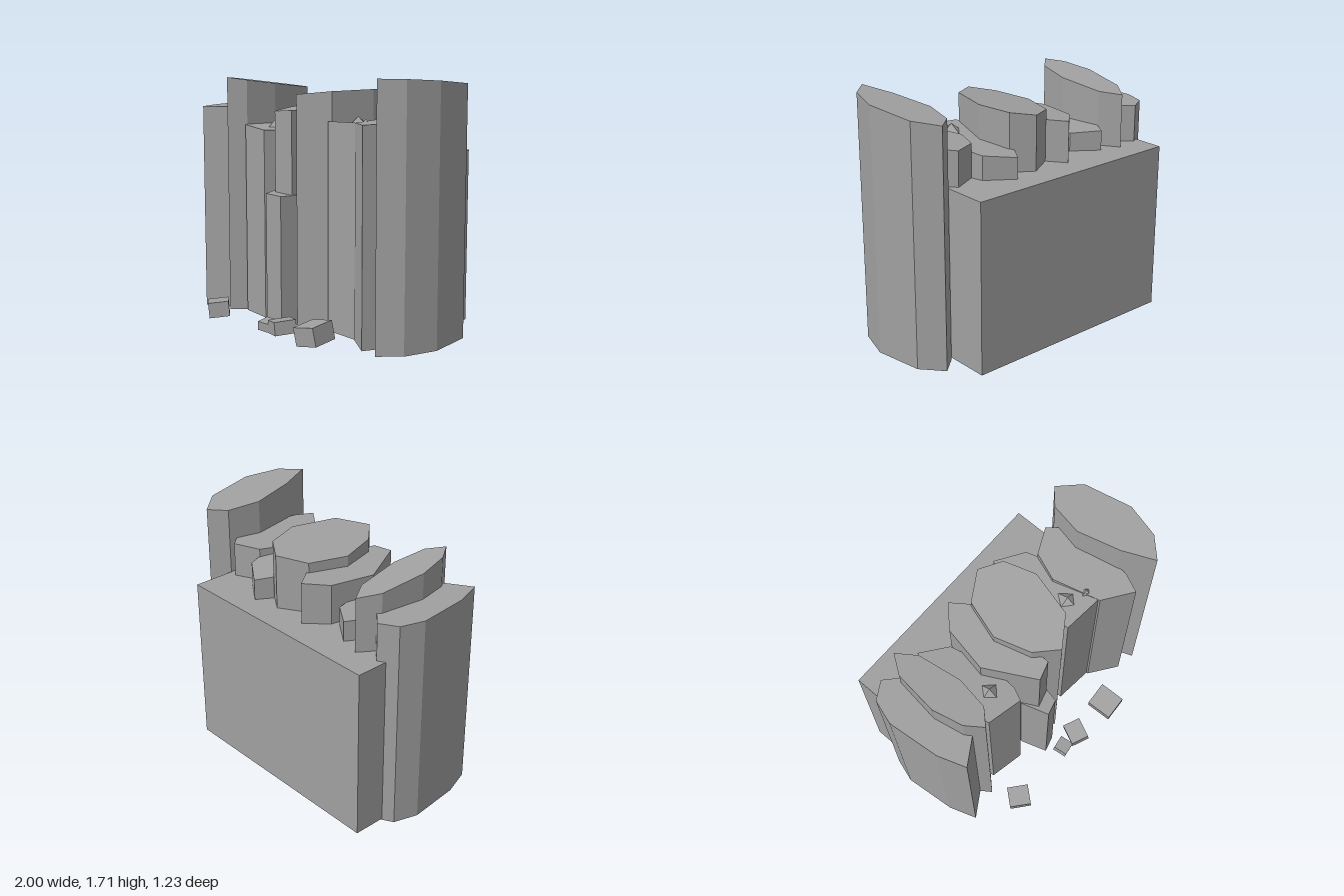
import * as THREE from 'three';

// Eight-sided outline: four corner points, with one point between each pair
// pushed from the straight side towards the bounding corner.
function outline(back, right, front, left, [bulgeLeft, bulgeRight]) {
  const between = (side, end, bulge) => [
    THREE.MathUtils.lerp((side[0] + end[0]) / 2, side[0], bulge),
    THREE.MathUtils.lerp((side[1] + end[1]) / 2, end[1], bulge),
  ];
  return [
    back, between(right, back, 0.4), right, between(right, front, bulgeRight),
    front, between(left, front, bulgeLeft), left, between(left, back, 0.4),
  ];
}

// Upright prism whose top follows the plane h + sx * x + sz * z.
function prism(points, [h, sx, sz]) {
  const shape = new THREE.Shape(points.map(([x, z]) => new THREE.Vector2(x, -z)));
  const geo = new THREE.ExtrudeGeometry(shape, { depth: 1, bevelEnabled: false });
  geo.rotateX(-Math.PI / 2);
  const p = geo.attributes.position;
  for (let i = 0; i < p.count; i++) {
    if (p.getY(i) > 0.5) p.setY(i, h + sx * p.getX(i) + sz * p.getZ(i));
  }
  geo.computeVertexNormals();
  return geo;
}

export function createModel() {
  const group = new THREE.Group();
  const stone = new THREE.MeshStandardMaterial({ color: 0xa0a0a0 });
  stone.name = 'grey stone';
  stone.flatShading = true;
  const add = (name, geo) => {
    const mesh = new THREE.Mesh(geo, stone);
    mesh.name = name;
    group.add(mesh);
    return mesh;
  };

  // Columns: top plane, then back, right, front and left corners, then front bulges
  const columns = [
    ['endRightColumn', [1.435, 0, 0], [-0.83, -0.43], [-0.62, 0.02], [-0.9, 0.345], [-1, -0.2], [0.3, 0.3]],
    ['tallRightColumn', [1.564, -0.06, 0.13], [-0.67, -0.455], [-0.545, -0.015], [-0.68, 0.31], [-0.8, -0.015], [0.3, 0.4]],
    ['brokenRightColumn', [1.28, -0.07, 0], [-0.525, -0.415], [-0.28, 0], [-0.335, 0.285], [-0.63, 0], [0.65, 0.4]],
    ['innerRightColumn', [1.461, 0.05, -0.02], [-0.18, -0.455], [-0.055, -0.05], [-0.19, 0.32], [-0.37, -0.015], [0, 0.8]],
    ['shortColumn', [0.88, -0.12, 0], [-0.15, 0.05], [-0.055, 0.25], [-0.19, 0.405], [-0.25, 0.22], [0, 0.6]],
    ['centreColumn', [1.553, 0.14, 0.03], [0.085, -0.435], [0.29, -0.12], [0.015, 0.32], [-0.185, -0.065], [0.3, 0.4]],
    ['brokenLeftColumn', [1.366, 0.03, 0.11], [0.27, -0.47], [0.53, -0.05], [0.49, 0.245], [0.18, -0.12], [0.85, 0.4]],
    ['innerLeftColumn', [1.384, 0.05, 0], [0.64, -0.34], [0.75, -0.03], [0.67, 0.395], [0.395, -0.07], [0.4, 0.4]],
    ['tallLeftColumn', [1.61, 0.07, 0.09], [0.82, -0.42], [1, 0.06], [0.805, 0.42], [0.66, -0.1], [0.15, 0.3]],
  ];
  for (const [name, top, ...corners] of columns) add(name, prism(outline(...corners), top));

  // Splinters on the broken tops: centre and size
  const splinters = [
    [[-0.42, 1.325, 0.1], [0.16, 0.07, 0.17]],
    [[0.35, 1.4, 0.09], [0.16, 0.06, 0.18]],
    [[0.47, 1.405, 0.15], [0.1, 0.04, 0.1]],
  ];
  for (const [pos, size] of splinters) {
    const splinter = add('splinter', new THREE.ConeGeometry(0.5, 1, 4));
    splinter.position.set(...pos);
    splinter.scale.set(...size);
  }

  // Solid wall behind the columns
  add('backWall', new THREE.BoxGeometry(1.58, 1.17, 0.42)).position.set(-0.09, 0.595, -0.41);

  // Fallen blocks: centre, size, rotation
  const blocks = [
    [[-0.59, 0.064, 0.49], [0.15, 0.105, 0.14], [0.12, -0.7, 0.12]],
    [[-0.09, 0.037, 0.485], [0.1, 0.06, 0.1], [0.1, 0.15, -0.1]],
    [[0.05, 0.056, 0.49], [0.13, 0.09, 0.15], [0.05, -0.42, 0.14]],
    [[0.365, 0.078, 0.51], [0.17, 0.125, 0.185], [0.08, 0.06, 0.16]],
  ];
  for (const [pos, size, rot] of blocks) {
    const block = add('fallenBlock', new THREE.BoxGeometry(...size));
    block.position.set(...pos);
    block.rotation.set(...rot);
  }
  return group;
}
